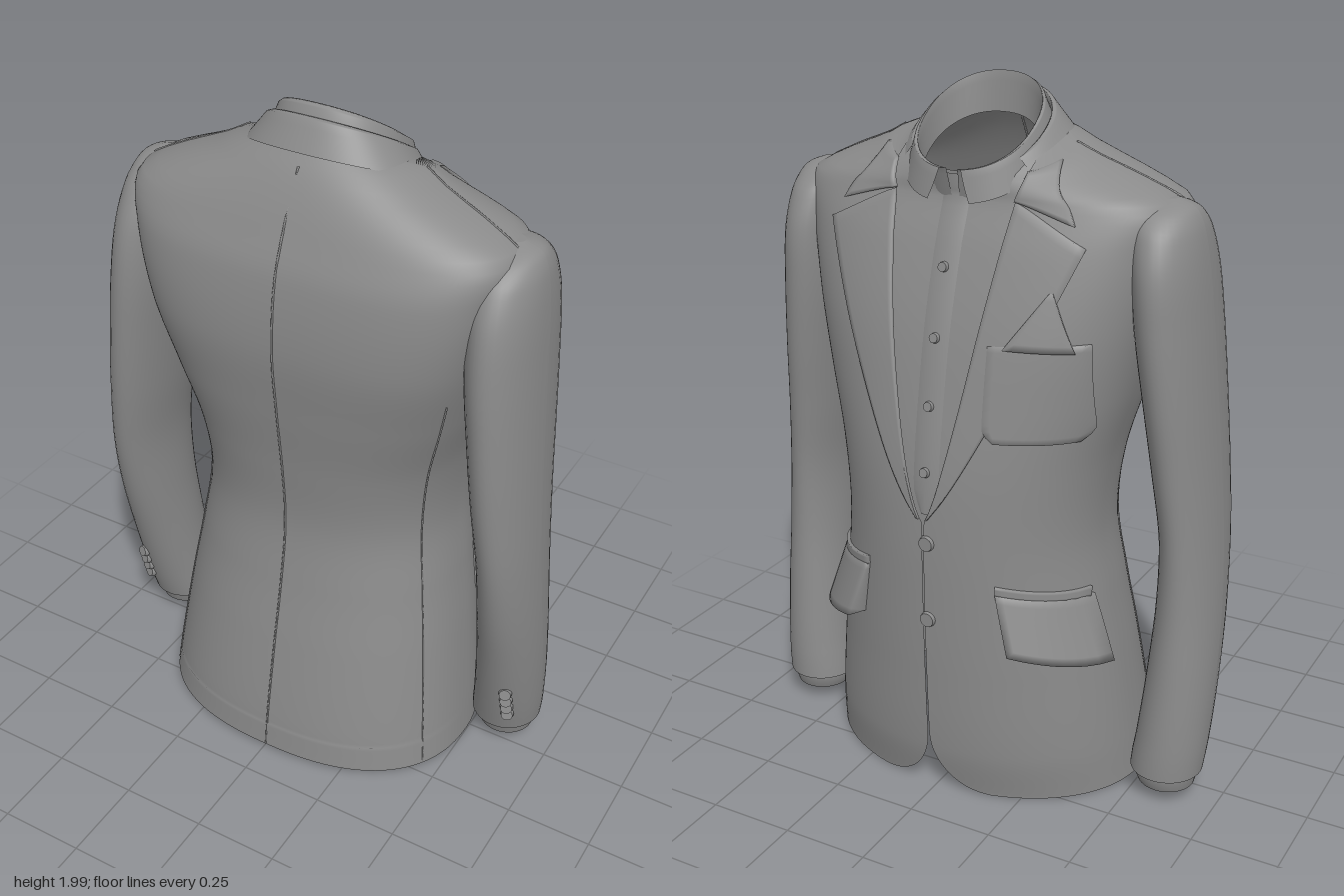
import * as THREE from 'three';

const mat = new THREE.MeshStandardMaterial({ color: 0x8a8a8a, side: THREE.DoubleSide });
const { lerp, clamp } = THREE.MathUtils;
const power = (v, n) => Math.sign(v) * Math.abs(v) ** (2 / n);

// Smooth lookup in a table whose rows start with a rising height
function sample(table, t) {
  let i = 0;
  while (i < table.length - 2 && t > table[i + 1][0]) i++;
  const a = table[i], b = table[i + 1], p = table[i - 1] || a, q = table[i + 2] || b;
  const h = b[0] - a[0], s = clamp((t - a[0]) / h, 0, 1), s2 = s * s, s3 = s2 * s;
  return a.slice(1).map((v, k) => {
    const w = b[k + 1];
    const m = (w - p[k + 1]) / (b[0] - p[0]) * h, n = (q[k + 1] - v) / (q[0] - a[0]) * h;
    return (2 * s3 - 3 * s2 + 1) * v + (s3 - 2 * s2 + s) * m + (3 * s2 - 2 * s3) * w + (s3 - s2) * n;
  });
}

// Smooth sheet from a point rule f(i / nu, j / nv)
function sheet(name, nu, nv, f) {
  const pos = [], idx = [];
  for (let j = 0; j <= nv; j++) for (let i = 0; i <= nu; i++) pos.push(...f(i / nu, j / nv, i, j));
  for (let j = 0; j < nv; j++) for (let i = 0; i < nu; i++) {
    const a = j * (nu + 1) + i, b = a + nu + 1;
    idx.push(a, a + 1, b, a + 1, b + 1, b);
  }
  const g = new THREE.BufferGeometry();
  g.setAttribute('position', new THREE.Float32BufferAttribute(pos, 3));
  g.setIndex(idx);
  g.computeVertexNormals();
  const m = new THREE.Mesh(g, mat);
  m.name = name;
  return m;
}

// Body sections: height, half width, z of chest, z of back, roundness of chest and back, neck tilt
const BODY = [
  [0.015, 0.49, -0.355, 0.40, 2.1, 2.4, 0], [0.15, 0.475, -0.378, 0.385, 2.1, 2.4, 0],
  [0.4, 0.443, -0.388, 0.34, 2.05, 2.4, 0], [0.6, 0.413, -0.39, 0.30, 2.05, 2.4, 0],
  [0.8, 0.388, -0.388, 0.272, 2.1, 2.4, 0], [1.0, 0.405, -0.375, 0.285, 2.2, 2.5, 0],
  [1.2, 0.455, -0.342, 0.31, 2.35, 2.8, 0], [1.4, 0.50, -0.298, 0.328, 2.6, 3.2, 0],
  [1.6, 0.54, -0.235, 0.308, 2.7, 3.2, 0], [1.71, 0.555, -0.19, 0.268, 2.5, 2.7, 0],
  [1.765, 0.455, -0.19, 0.24, 2.4, 2.5, 0.03], [1.82, 0.32, -0.19, 0.205, 2.3, 2.3, 0.06],
  [1.855, 0.25, -0.19, 0.175, 2.2, 2.2, 0.08], [1.87, 0.2, -0.19, 0.155, 2.2, 2.2, 0.09]];
const shift = t => 0.008 + 0.007 * t;

// Point on the body; angle 0 is the middle of the chest (-z)
function body(angle, t, off = 0) {
  const [hw, zf, zb, nf, nb, tilt] = sample(BODY, t);
  const c = Math.cos(angle), n = c > 0 ? nf : nb, mid = (zf + zb) / 2, d = (zb - zf) / 2;
  const x = hw * power(Math.sin(angle), n), z = -d * power(c, n);
  const nx = x / hw ** 2, nz = z / d ** 2, l = Math.hypot(nx, nz);
  return [shift(t) + x + off * nx / l, t - tilt * (c > 0 ? c : 0.35 * c), mid + z + off * nz / l];
}
function angleAt(x, t) {
  const [hw, , , n] = sample(BODY, t);
  return Math.sign(x) * Math.asin(Math.min(1, Math.abs(x / hw)) ** (n / 2));
}
const chest = (x, t, off) => body(angleAt(x, t), t, off);

// Half opening of the front: V neck above, rounded cutaway below
function edge(t) {
  if (t > 0.86) return 0.002 + 0.198 * ((t - 0.86) / 1.01) ** 0.68;
  return t < 0.2 ? 0.002 + 0.17 * (1 - Math.sqrt(1 - Math.min(1, (0.2 - t) / 0.187) ** 2)) : 0.002;
}

// Raised cloth piece on the chest; rule gives [x, height, thickness]
function patch(name, rule, nu = 12, nv = 24) {
  return sheet(name, nu, nv, (a, b, i, j) => {
    const u = clamp((i - 1) / (nu - 2), 0, 1), v = clamp((j - 1) / (nv - 2), 0, 1);
    const [x, t, off] = rule(u, v);
    const rim = i === 0 || j === 0 || i === nu || j === nv;
    return chest(x, t, rim ? 0 : off);
  });
}

function button(name, p, r, out) {
  const m = new THREE.Mesh(new THREE.CylinderGeometry(r * 0.85, r, 0.014, 16), mat);
  m.name = name;
  m.position.set(...p);
  m.quaternion.setFromUnitVectors(new THREE.Vector3(0, 1, 0), out.normalize());
  return m;
}

// Tilted neck ring: half width, z front, z back, y front, y back
function neck(angle, [rx, zf, zb, yf, yb]) {
  const k = (1 - power(Math.cos(angle), 2.2)) / 2;
  return [0.02 + rx * power(Math.sin(angle), 2.2), lerp(yf, yb, k), lerp(zf, zb, k)];
}
// Collar folded through a list of rings, its front gap widening downwards
function collar(name, gap0, gap1, rings) {
  const n = (rings.length - 1) * 4;
  return sheet(name, 72, n, (u, v) => {
    const k = Math.min(rings.length - 2, Math.floor(v * (rings.length - 1)));
    const f = v * (rings.length - 1) - k, gap = lerp(gap0, gap1, v * v);
    return neck(lerp(gap, Math.PI * 2 - gap, u), rings[k].map((r, i) => lerp(r, rings[k + 1][i], f)));
  });
}

// Sleeve sections: height, inner x, outer x, z front, z back
const SLEEVE = [
  [0.045, 0.505, 0.685, -0.15, 0.03], [0.09, 0.49, 0.695, -0.165, 0.045], [0.2, 0.50, 0.705, -0.16, 0.075],
  [0.4, 0.515, 0.71, -0.14, 0.125], [0.6, 0.525, 0.705, -0.122, 0.175], [0.8, 0.525, 0.693, -0.12, 0.212],
  [1.0, 0.50, 0.678, -0.135, 0.232], [1.2, 0.475, 0.663, -0.155, 0.24], [1.4, 0.45, 0.648, -0.167, 0.238],
  [1.55, 0.44, 0.635, -0.163, 0.218], [1.65, 0.43, 0.62, -0.13, 0.175], [1.695, 0.42, 0.604, -0.09, 0.13],
  [1.715, 0.42, 0.585, -0.055, 0.09], [1.73, 0.44, 0.545, -0.01, 0.05]];

function sleeve(s) {
  const g = new THREE.Group();
  g.name = s > 0 ? 'leftSleeve' : 'rightSleeve';
  const at = (a, t, grow = 0) => {
    const [xi, xo, zf, zb] = sample(SLEEVE, t);
    const x = (xi + xo) / 2 + ((xo - xi) / 2 + grow) * Math.cos(a);
    return [s * x + 0.012 * t * t / 1.7, t, (zf + zb) / 2 + ((zb - zf) / 2 + grow) * Math.sin(a)];
  };
  // The last row closes the sleeve head
  g.add(sheet('sleeve', 40, 61, (u, v, i, j) =>
    at(u * Math.PI * 2, 0.1 + 1.63 * Math.sin(Math.min(1, j / 60) * Math.PI / 2), j > 60 ? -0.03 : 0)));
  // Turned hem, then the shirt cuff below it
  g.add(sheet('sleeveHem', 40, 2, (u, v) => at(u * Math.PI * 2, 0.1 + 0.03 * v, -0.012 * v)));
  g.add(sheet('shirtCuff', 40, 4, (u, v) => at(u * Math.PI * 2, lerp(0.055, 0.14, v), -0.012)));
  for (let i = 0; i < 4; i++)
    g.add(button('cuffButton', at(1.15 + i * 0.02, 0.19 + i * 0.035, 0.006), 0.02,
      new THREE.Vector3(s * 0.35, 0.25, 1)));
  return g;
}

export function createModel() {
  const model = new THREE.Group();
  model.name = 'suitJacket';

  // Jacket shell, open at the front, hem and neck
  model.add(sheet('jacketBody', 120, 100, (u, v) => {
    const t = 0.012 + 1.858 * v ** 1.35, a = angleAt(edge(t), t);
    const p = body(lerp(a, Math.PI * 2 - a, u), t);
    if (t < 0.1) p[1] += 0.015 * clamp(p[2] / 0.4, 0, 1);
    return p;
  }));

  // Shirt front, button band and buttons
  model.add(sheet('shirtFront', 32, 40, (u, v) => {
    const t = lerp(0.8, 1.868, v), a = angleAt(edge(t) + 0.05, t);
    return body(lerp(-a, a, u), t, -0.014);
  }));
  model.add(sheet('shirtPlacket', 4, 30, (u, v) => {
    const t = lerp(0.88, 1.85, v), w = Math.min(0.04, edge(t));
    return chest(lerp(-w, w, u), t, u > 0 && u < 1 ? -0.008 : -0.014);
  }));
  for (const t of [1.0, 1.18, 1.36, 1.54])
    model.add(button('shirtButton', chest(0, t, -0.004), 0.015, new THREE.Vector3(0, 0.2, -1)));
  for (const t of [0.8, 0.57])
    model.add(button('jacketButton', chest(-0.012, t, 0.002), 0.024, new THREE.Vector3(0, 0, -1)));

  // Neck: shirt collar, and the jacket collar folded around it
  model.add(collar('shirtCollar', 0.06, 0.28, [
    [0.155, -0.18, 0.088, 1.71, 1.89], [0.163, -0.2, 0.1, 1.79, 2.0],
    [0.172, -0.212, 0.112, 1.79, 1.993], [0.2, -0.228, 0.15, 1.705, 1.91]]));
  model.add(collar('jacketCollar', 0.95, 0.95, [
    [0.185, -0.18, 0.125, 1.74, 1.91], [0.183, -0.19, 0.124, 1.785, 1.972],
    [0.195, -0.195, 0.138, 1.785, 1.97], [0.25, -0.2, 0.18, 1.735, 1.895]]));

  for (const s of [-1, 1]) {
    model.add(sleeve(s));
    // Lapel with its notch, and the collar leaf above it
    model.add(patch('lapel', (u, v) => {
      const t = lerp(0.87, 1.62 + 0.1 * (1 - u), v);
      const outer = 0.37 * v ** 0.8 + 0.01;
      return [s * lerp(edge(t), Math.max(edge(t) + 0.005, outer), u), t, 0.009];
    }, 14, 36));
    model.add(patch('collarLeaf', (u, v) => {
      const t = lerp(1.725 - 0.055 * u, 1.845, v);
      return [s * lerp(edge(t) - 0.004, lerp(0.345, 0.255, v), u), t, 0.011];
    }, 12, 14));
    // Hip pocket: welt and a flap standing away at its lower edge
    model.add(patch('pocketWelt', (u, v) =>
      [s * lerp(0.2, 0.39, u), lerp(0.685, 0.645, u) + 0.025 * (v - 0.5), 0.01], 12, 6));
    model.add(patch('pocketFlap', (u, v) => [s * lerp(0.2 + 0.03 * v, 0.395 + 0.025 * v, u),
      lerp(lerp(0.675, 0.635, u), lerp(0.51, 0.445, u), v), 0.01 + 0.045 * v], 12, 10));
  }

  // Breast pocket with a folded pocket square
  model.add(patch('breastPocket', (u, v) => {
    const t = lerp(1.11, 1.38, v), r = 0.03 * Math.max(0, 1 - v * 6) ** 2;
    return [lerp(-0.41 + r, -0.16 - r, u), t - 0.015 * u * v, 0.01];
  }, 14, 18));
  model.add(patch('pocketSquare', (u, v) =>
    [lerp(-0.375, lerp(-0.2, -0.365, v), u) + 0.06 * v, lerp(1.36, 1.51, v), 0.018 - 0.008 * v], 10, 10));

  // Seams of the back, sides and shoulders
  const seam = (name, angle, t0, t1) => {
    const pts = Array.from({ length: 16 }, (_, i) =>
      new THREE.Vector3(...body(angle, lerp(t0, t1, i / 15))));
    const m = new THREE.Mesh(new THREE.TubeGeometry(new THREE.CatmullRomCurve3(pts), 40, 0.003, 5), mat);
    m.name = name;
    model.add(m);
  };
  seam('centreBackSeam', Math.PI, 0.03, 1.84);
  for (const s of [-1, 1]) {
    seam('sideSeam', s * 2.05, 0.03, 1.3);
    seam('shoulderSeam', s * 1.6, 1.72, 1.85);
  }

  return model;
}
